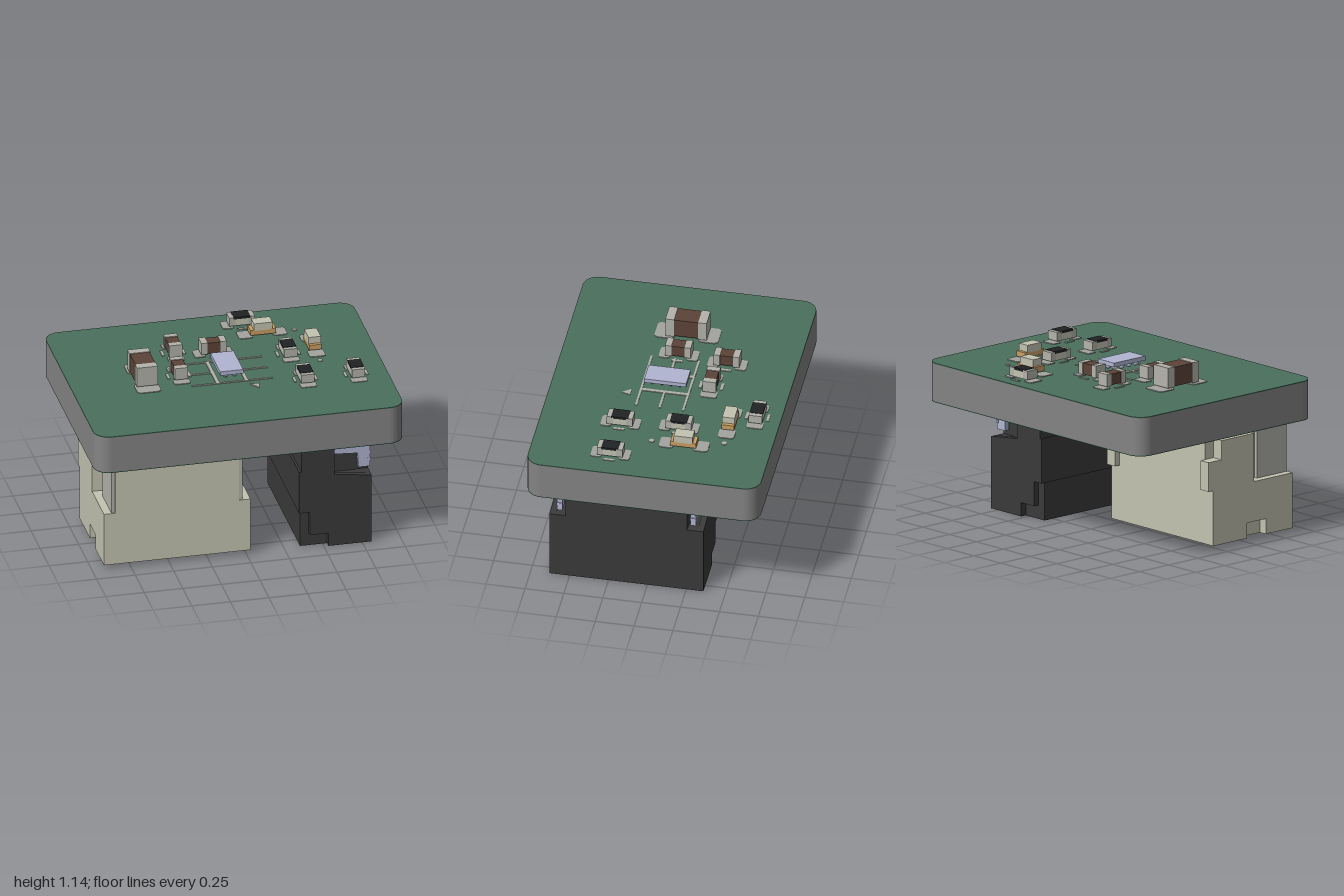
import * as THREE from 'three';

const mat = (color) => new THREE.MeshStandardMaterial({ color });
const M = {
  mask: mat(0x4a705d), core: mat(0x848484), pad: mat(0xa3a3a0), silk: mat(0xb0b0aa),
  cream: mat(0xc4c4b2), black: mat(0x3a3a3a), steel: mat(0xb0b5d2), brown: mat(0x5c4438),
  tin: mat(0xb4b4ac), dark: mat(0x202224), orange: mat(0xc9a063),
};

function add(parent, name, geo, material) {
  const m = new THREE.Mesh(geo, material);
  m.name = name;
  parent.add(m);
  return m;
}

// box given by its limits on each axis
function box(parent, name, material, [x0, x1], [y0, y1], [z0, z1]) {
  const m = add(parent, name, new THREE.BoxGeometry(x1 - x0, y1 - y0, z1 - z0), material);
  m.position.set((x0 + x1) / 2, (y0 + y1) / 2, (z0 + z1) / 2);
  return m;
}

function group(parent, name, x = 0, y = 0, z = 0) {
  const g = new THREE.Group();
  g.name = name;
  g.position.set(x, y, z);
  parent.add(g);
  return g;
}

function roundRect(w, d, r) {
  const s = new THREE.Shape(), a = w / 2, b = d / 2;
  s.absarc(a - r, b - r, r, 0, Math.PI / 2);
  s.absarc(-a + r, b - r, r, Math.PI / 2, Math.PI);
  s.absarc(-a + r, -b + r, r, Math.PI, Math.PI * 1.5);
  s.absarc(a - r, -b + r, r, Math.PI * 1.5, Math.PI * 2);
  return s;
}

// plan shape (x, -z) raised from y0 to y1
function rise(shape, y0, y1) {
  return new THREE.ExtrudeGeometry(shape, { depth: y1 - y0, bevelEnabled: false, curveSegments: 8 })
    .rotateX(-Math.PI / 2).translate(0, y0, 0);
}

// rectangular plan with rectangular holes, each as [x0, x1, z0, z1]
function frame(outer, holes) {
  const pts = ([x0, x1, z0, z1]) => [[x0, -z1], [x1, -z1], [x1, -z0], [x0, -z0]].map((p) => new THREE.Vector2(...p));
  const s = new THREE.Shape(pts(outer));
  for (const h of holes) s.holes.push(new THREE.Path(pts(h).reverse()));
  return s;
}

const TOP = 0.995, LOW = 0.74;

function pad(parent, x, z, w, d, y = TOP) {
  const up = y === TOP;
  const m = add(parent, 'pad', rise(roundRect(w, d, Math.min(w, d) * 0.22), 0, 0.005), M.pad);
  m.position.set(x, up ? y : y - 0.005, z);
}

function line(parent, x0, x1, z0, z1, y = TOP) {
  const b = y === TOP ? [y, y + 0.005] : [y - 0.005, y];
  box(parent, 'printedLine', M.silk, [x0, x1], b, [z0, z1]);
}

// two-terminal part lying along local z
function chip(root, kind, x, z, alongX, o = {}) {
  const { w = 0.085, len = 0.165, h = 0.08, end = 0.04, padW = 0.105, padL = 0.25, gap = 0.11 } = o;
  const g = group(root, kind, x, 0, z), a = w / 2, l = len / 2, y = 1.008;
  if (alongX) g.rotation.y = Math.PI / 2;
  for (const s of [-1, 1]) {
    const pl = (padL - gap) / 2;
    pad(g, 0, s * (gap / 2 + pl / 2), padW, pl);
    const e = [s * l, s * (l - end)].sort((p, q) => p - q);
    if (kind === 'capacitor') box(g, 'terminal', M.tin, [-a, a], [y, y + h], e);
    if (kind === 'resistor') {
      box(g, 'terminal', M.tin, [-a, a], [y, y + h], e);
    }
    if (kind === 'lamp') box(g, 'terminal', M.orange, [-a, a], [y, y + 0.035], e);
    if (kind !== 'lamp' && w < 0.1) line(g, s * 0.068 - 0.009, s * 0.068 + 0.009, -0.035, 0.035);
  }
  const k = l - end, t = 0.004;
  if (kind === 'capacitor') box(g, 'body', M.brown, [-a + t, a - t], [y + t, y + h - t], [-k, k]);
  if (kind === 'resistor') {
    box(g, 'body', M.cream, [-a, a], [y, y + h - 0.012], [-k, k]);
    box(g, 'coating', M.dark, [-a, a], [y + h - 0.012, y + h + 0.003], [-k - 0.012, k + 0.012]);
  }
  if (kind === 'lamp') {
    box(g, 'base', M.orange, [-a, a], [y, y + 0.03], [-k, k]);
    box(g, 'lens', M.cream, [-a, a], [y + 0.03, y + h], [-l + 0.022, l - 0.022]);
  }
}

// flat package on solder balls; side is the y of the board surface, dir points away from it
function ballChip(root, name, x, z, w, d, rows, cols, surface, dir) {
  const g = group(root, name, x, surface, z);
  const ys = [dir * 0.045, dir * 0.073].sort((p, q) => p - q);
  box(g, 'package', M.steel, [-w / 2, w / 2], ys, [-d / 2, d / 2]);
  const ball = new THREE.SphereGeometry(0.018, 14, 10);
  for (let i = 0; i < rows; i++) for (let j = 0; j < cols; j++) {
    add(g, 'solderBall', ball, M.steel)
      .position.set((j - (cols - 1) / 2) * 0.06, dir * 0.029, (i - (rows - 1) / 2) * 0.06);
  }
}

function blackConnector(root) {
  const g = group(root, 'blackConnector');
  // hollow housing, open below
  add(g, 'shell', rise(frame([0.355, 0.785, -0.32, 0.59], [[0.41, 0.73, -0.26, 0.53]]), 0, 0.47), M.black);
  box(g, 'shellTop', M.black, [0.355, 0.81], [0.44, 0.71], [-0.255, 0.525]);
  box(g, 'outerWall', M.black, [0.785, 0.81], [0, 0.47], [-0.32, 0.59]);
  box(g, 'innerWall', M.black, [0.34, 0.356], [0.25, 0.54], [-0.32, 0.59]);
  for (const s of [-1, 1]) {
    const side = (a, b) => [0.135 + s * a, 0.135 + s * b].sort((p, q) => p - q);
    // stepped side panel
    const p = [[0.53, 0], [0.81, 0], [0.81, 0.47], [0.57, 0.5], [0.57, 0.71], [0.355, 0.71], [0.355, 0.54],
      [0.34, 0.54], [0.34, 0.25], [0.41, 0.25], [0.41, 0.09], [0.53, 0.09]].map((q) => new THREE.Vector2(...q));
    const panel = add(g, 'sidePanel', new THREE.ExtrudeGeometry(new THREE.Shape(p), { depth: 0.04, bevelEnabled: false }), M.black);
    panel.position.z = side(0.455, 0.495)[0];
    box(g, 'sideBlock', M.black, [0.355, 0.57], [0.47, 0.71], side(0.38, 0.46));
    // solder tab
    const t = [[0.57, 0.73], [0.57, 0.62], [0.73, 0.61], [0.735, 0.51], [0.81, 0.51], [0.81, 0.73]].map((q) => new THREE.Vector2(...q));
    const tab = add(g, 'solderTab', new THREE.ExtrudeGeometry(new THREE.Shape(t), { depth: 0.035, bevelEnabled: false }), M.steel);
    tab.position.z = side(0.412, 0.447)[0];
    for (const y of [0.55, 0.6, 0.65]) box(g, 'tabTooth', M.steel, [0.795, 0.815], [y, y + 0.02], side(0.41, 0.449));
  }
  // pins with bent feet
  const foot = new THREE.Shape([[0.22, 0.727], [0.22, 0.7], [0.29, 0.685], [0.345, 0.615], [0.36, 0.615], [0.36, 0.727]]
    .map((q) => new THREE.Vector2(...q)));
  for (let i = 0; i < 4; i++) {
    const z = 0.383 - i * 0.167;
    add(g, 'pinFoot', new THREE.ExtrudeGeometry(foot, { depth: 0.026, bevelEnabled: false }), M.steel).position.z = z - 0.013;
    box(g, 'pinEnd', M.steel, [0.77, 0.813], [0.61, 0.727], [z - 0.013, z + 0.013]);
    box(g, 'contact', M.steel, [0.56, 0.585], [0.12, 0.45], [z - 0.013, z + 0.013]);
  }
}

function creamConnector(root) {
  const g = group(root, 'creamConnector');
  // hollow housing, open below, with keyed slots
  const outer = [-0.925, 0.025, -0.05, 0.63];
  const holes = [[-0.8, -0.1, 0.03, 0.45], [-0.2, -0.07, 0.49, 0.58], [-0.62, -0.28, 0.49, 0.58], [-0.83, -0.7, 0.49, 0.58]];
  add(g, 'shell', rise(frame(outer, holes), 0.13, 0.39), M.cream);
  // lower rim with a notch in each end wall
  const rim = [[-0.925, -0.63], [0.025, -0.63], [0.025, -0.4], [-0.03, -0.4], [-0.03, -0.24], [0.025, -0.24], [0.025, 0.05],
    [-0.925, 0.05], [-0.925, -0.24], [-0.87, -0.24], [-0.87, -0.4], [-0.925, -0.4]].map((q) => new THREE.Vector2(...q));
  const rimShape = new THREE.Shape(rim);
  rimShape.holes = frame(outer, holes).holes;
  add(g, 'rim', rise(rimShape, 0.03, 0.13), M.cream);
  box(g, 'shellTop', M.cream, [-0.85, -0.05], [0.39, 0.705], [-0.05, 0.63]);
  for (const s of [-1, 1]) {
    const side = (a, b) => [-0.45 + s * a, -0.45 + s * b].sort((p, q) => p - q);
    box(g, 'endBlock', M.cream, side(0.4, 0.475), [0.39, 0.705], [0.02, 0.3]);
    box(g, 'endArm', M.cream, side(0.4, 0.475), [0.39, 0.58], [-0.09, 0.02]);
    box(g, 'solderBlade', M.tin, side(0.4, 0.425), [0.39, 0.727], [0.37, 0.622]);
    // signal leads
    const x = -0.455 + s * 0.1;
    box(g, 'lead', M.cream, [x - 0.017, x + 0.017], [0.7, 0.727], [-0.19, 0.15]);
    box(g, 'leadDrop', M.cream, [x - 0.017, x + 0.017], [0.6, 0.71], [-0.085, -0.045]);
    box(g, 'contact', M.tin, [x - 0.017, x + 0.017], [0.1, 0.39], [0.22, 0.25]);
  }
}

export function createModel() {
  const root = new THREE.Group();
  root.name = 'circuitBoard';

  // board
  add(root, 'boardCore', rise(roundRect(2, 1.5, 0.1), LOW + 0.006, TOP - 0.006), M.core);
  for (const y of [LOW, TOP - 0.006]) add(root, 'solderMask', rise(roundRect(2, 1.5, 0.1), y, y + 0.006), M.mask);

  // top parts
  const top = group(root, 'topParts');
  chip(top, 'capacitor', -0.527, 0, false, { w: 0.135, len: 0.265, h: 0.132, end: 0.055, padW: 0.155, padL: 0.41, gap: 0.15 });
  chip(top, 'capacitor', -0.26, -0.307, false);
  chip(top, 'capacitor', -0.298, 0.012, false);
  chip(top, 'capacitor', -0.015, -0.252, true);
  chip(top, 'resistor', 0.247, -0.6, true, { h: 0.057 });
  for (const [x, z] of [[0.445, -0.135], [0.47, 0.237], [0.798, 0.237]]) chip(top, 'resistor', x, z, false, { h: 0.057 });
  const lamp = { w: 0.08, padL: 0.315, gap: 0.13 };
  chip(top, 'lamp', 0.348, -0.442, true, lamp);
  chip(top, 'lamp', 0.62, -0.2, false, lamp);
  ballChip(top, 'topChip', 0.012, 0.027, 0.15, 0.27, 4, 2, TOP, 1);

  // top printed marks
  const marks = group(root, 'topMarks');
  for (const z of [-0.125, 0.027, 0.178]) {
    line(marks, -0.25, -0.08, z - 0.007, z + 0.007);
    line(marks, 0.105, 0.275, z - 0.007, z + 0.007);
  }
  for (const z of [-0.125, 0.178]) line(marks, -0.08, 0.105, z - 0.007, z + 0.007);
  for (const x of [-0.08, 0.105]) line(marks, x - 0.012, x + 0.012, -0.118, 0.171);
  for (const [x, z] of [[0.56, -0.445], [0.62, 0.01]]) {
    add(marks, 'dot', new THREE.CylinderGeometry(0.017, 0.017, 0.005, 20), M.silk).position.set(x, TOP + 0.0025, z);
  }
  const tri = new THREE.Shape([[0.115, -0.235], [0.16, -0.295], [0.175, -0.235]].map((q) => new THREE.Vector2(...q)));
  add(marks, 'cornerMark', rise(tri, TOP, TOP + 0.005), M.silk);

  // underside parts
  blackConnector(root);
  creamConnector(root);
  ballChip(root, 'bottomChip', -0.06, -0.465, 0.12, 0.12, 2, 2, LOW, -1);

  // underside pads and printed marks
  const under = group(root, 'undersideMarks');
  for (const x of [-0.6, -0.85]) pad(under, x, -0.44, 0.19, 0.19, LOW);
  for (const x of [0.75, 0.62]) pad(under, x, -0.58, 0.1, 0.1, LOW);
  for (let i = 0; i < 4; i++) pad(under, 0.24, 0.383 - i * 0.167, 0.16, 0.07, LOW);
  for (const z of [-0.3, 0.565]) pad(under, 0.69, z, 0.3, 0.12, LOW);
  for (const x of [-0.355, -0.555]) pad(under, x, -0.13, 0.07, 0.22, LOW);
  for (const x of [-0.865, -0.035]) pad(under, x, 0.49, 0.1, 0.28, LOW);
  for (const x of [-0.95, 0.05]) line(under, x - 0.006, x + 0.006, -0.1, 0.3, LOW);
  for (const [a, b] of [[-0.95, -0.63], [-0.28, 0.05]]) line(under, a, b, -0.106, -0.094, LOW);
  line(under, 0.85, 0.862, -0.22, 0.48, LOW);
  for (const z of [-0.55, -0.38]) line(under, -0.15, 0.03, z - 0.006, z + 0.006, LOW);
  for (const x of [-0.15, 0.03]) line(under, x - 0.006, x + 0.006, -0.55, -0.38, LOW);
  return root;
}
